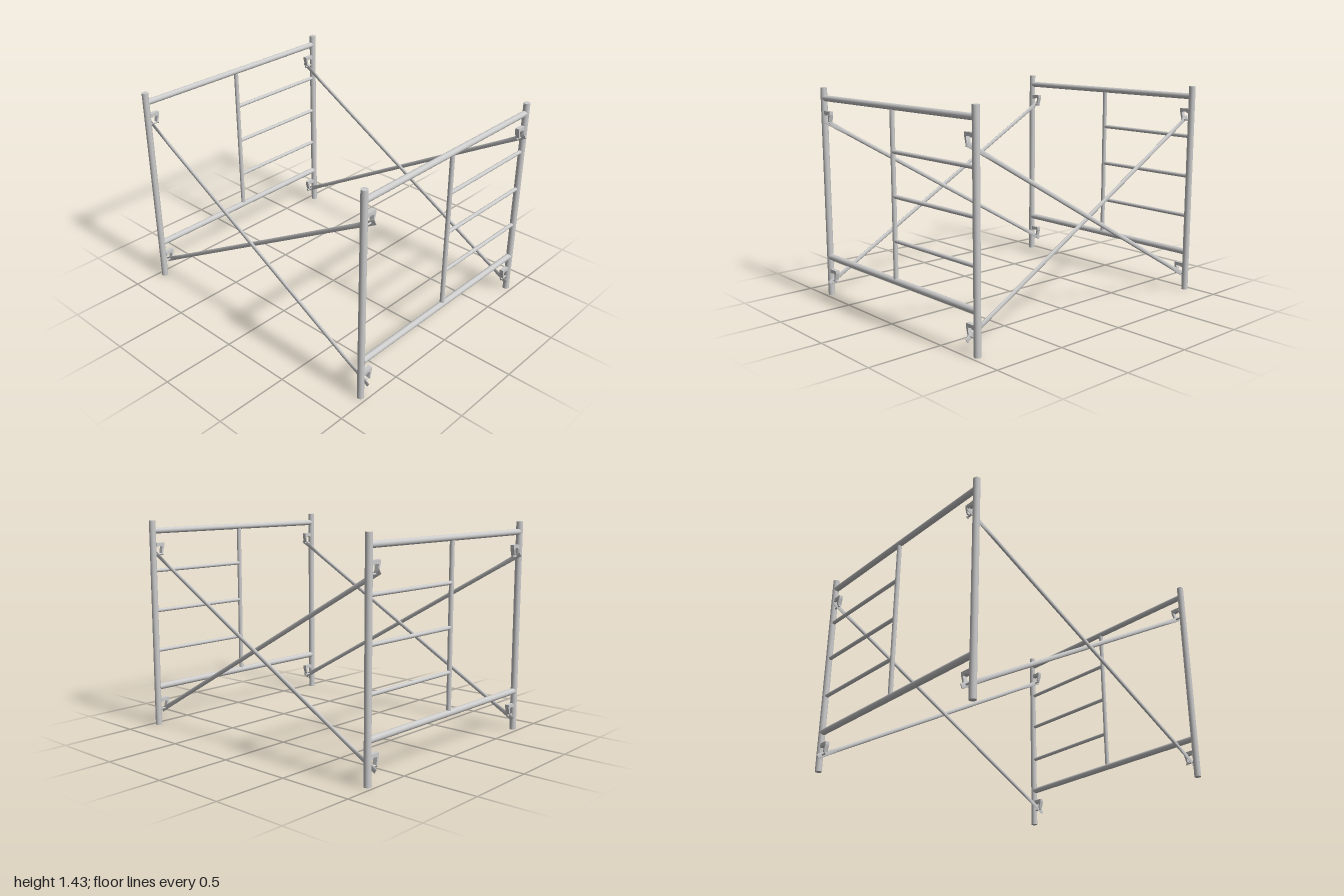
import * as THREE from 'three';

const POST_X = 0.785, POST_Z = 0.958, HEIGHT = 1.43;
const material = new THREE.MeshStandardMaterial({ color: 0xcccccc });

function add(parent, name, geometry) {
  const mesh = new THREE.Mesh(geometry, material);
  mesh.name = name;
  parent.add(mesh);
  return mesh;
}

// Round bar centred at (x, y), upright or lying along x
function bar(parent, name, radius, length, x, y, lying = false) {
  const mesh = add(parent, name, new THREE.CylinderGeometry(radius, radius, length, 24));
  mesh.position.set(x, y, 0);
  if (lying) mesh.rotation.z = Math.PI / 2;
  return mesh;
}

// Hooked lock plate with its pin; origin at the pin, reaching from the post towards -x
function lockBracket() {
  const bracket = new THREE.Group();
  const outline = [
    [-0.018, 0.078], [-0.085, 0.078], [-0.085, 0.056], [-0.072, 0.008],
    [-0.061, 0.008], [-0.069, 0.053], [-0.04, 0.057], [-0.032, 0.05], [-0.018, 0.05],
  ].map(([x, y]) => new THREE.Vector2(x, y));
  const plate = new THREE.ExtrudeGeometry(new THREE.Shape(outline), { depth: 0.028, bevelEnabled: false });
  plate.translate(0, 0, -0.014);
  add(bracket, 'hookPlate', plate);
  bar(bracket, 'pin', 0.006, 0.062, -0.05, 0, true);
  bar(bracket, 'pinHead', 0.009, 0.006, -0.077, 0, true);
  return bracket;
}

// Ladder frame: two posts, two rails, a middle upright and three rungs
function endFrame() {
  const frame = new THREE.Group();
  for (const side of [-1, 1]) {
    bar(frame, 'post', 0.022, HEIGHT, side * POST_X, HEIGHT / 2);
    for (const y of [0.108, 1.198]) {
      const bracket = lockBracket();
      bracket.name = 'lockBracket';
      bracket.position.set(side * POST_X, y, 0);
      if (side < 0) bracket.rotation.y = Math.PI;
      frame.add(bracket);
    }
  }
  bar(frame, 'topRail', 0.02, 2 * POST_X - 0.02, 0, 1.36, true);
  bar(frame, 'bottomRail', 0.021, 2 * POST_X - 0.02, 0, 0.27, true);
  bar(frame, 'middleUpright', 0.015, 1.09, 0, 0.815);
  for (const y of [0.53, 0.81, 1.087]) bar(frame, 'rung', 0.013, POST_X, POST_X / 2, y, true);
  return frame;
}

// Brace tube whose ends are pressed flat
function braceGeometry(length) {
  const geometry = new THREE.CylinderGeometry(1, 1, length, 20, 80);
  const p = geometry.attributes.position;
  for (let i = 0; i < p.count; i++) {
    const fromEnd = length / 2 - Math.abs(p.getY(i));
    const round = THREE.MathUtils.smoothstep(fromEnd, 0.05, 0.24);
    p.setX(i, p.getX(i) * THREE.MathUtils.lerp(0.0025, 0.0095, round));
    p.setZ(i, p.getZ(i) * THREE.MathUtils.lerp(0.0165, 0.0145, round));
  }
  geometry.computeVertexNormals();
  return geometry;
}

export function createModel() {
  const model = new THREE.Group();
  model.name = 'scaffold';

  for (const [name, z] of [['frontFrame', POST_Z], ['backFrame', -POST_Z]]) {
    const frame = endFrame();
    frame.name = name;
    frame.position.z = z;
    model.add(frame);
  }

  // Crossed braces on both sides, lying next to each other on the pins
  const geometry = braceGeometry(2.278);
  const tilt = Math.atan2(0.992, 0.564);
  for (const [x, lean] of [[-0.726, 1], [-0.753, -1], [0.726, -1], [0.753, 1]]) {
    const brace = add(model, lean > 0 ? 'braceHighAtFront' : 'braceHighAtBack', geometry);
    brace.position.set(x, 0.652, 0);
    brace.rotation.x = lean * tilt;
  }
  return model;
}
